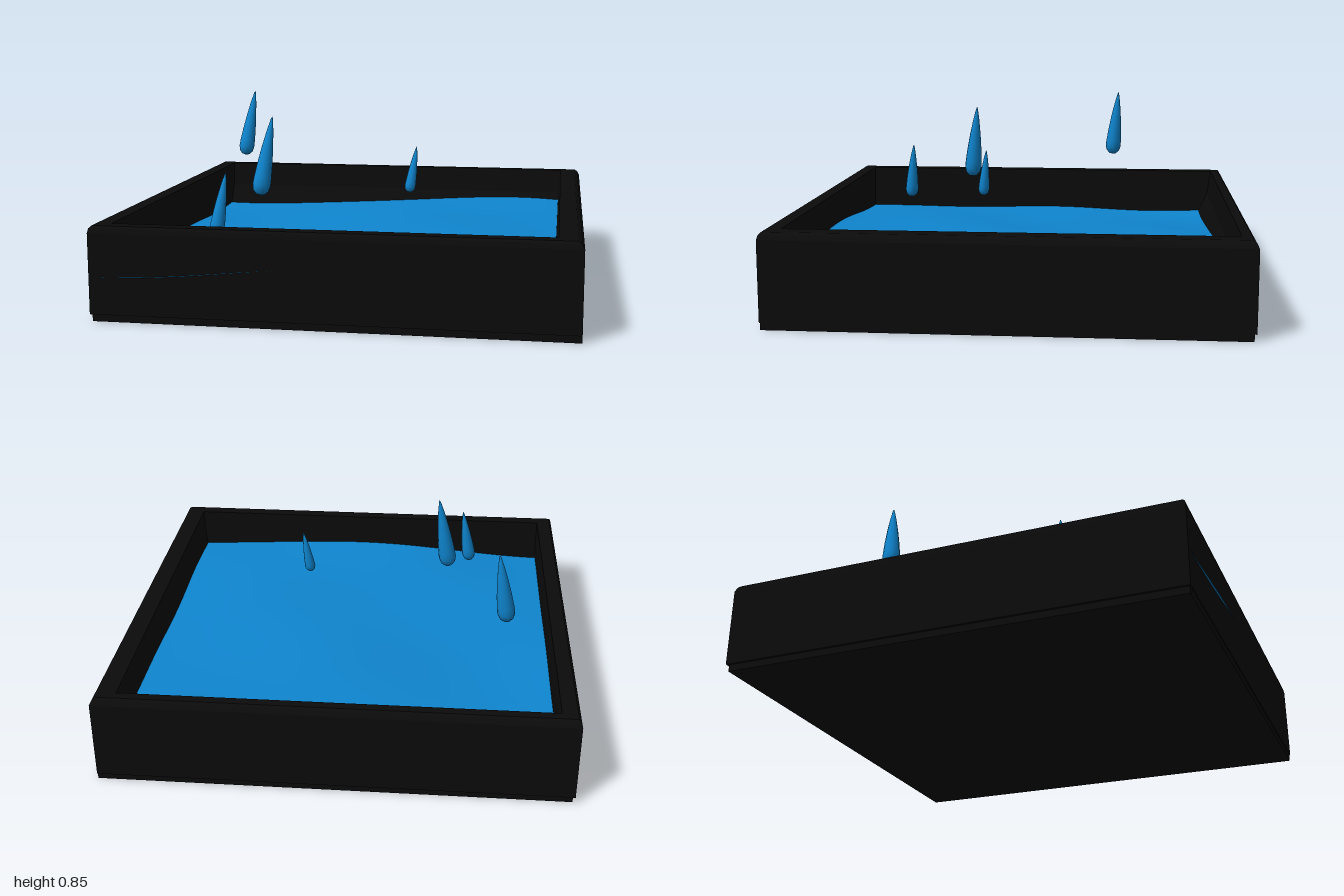
import * as THREE from 'three';

const black = new THREE.MeshStandardMaterial({ name: 'black tray', color: 0x0b0b0b });
const blue = new THREE.MeshStandardMaterial({ name: 'water blue', color: 0x0f86d0, side: THREE.DoubleSide });

// Skins a series of rectangles [x0, x1, z0, z1, y] and caps both ends
function rectLoft(rings) {
  const pos = [];
  const corners = ([x0, x1, z0, z1, y]) => [[x0, y, z1], [x1, y, z1], [x1, y, z0], [x0, y, z0]];
  const quad = (a, b, c, d) => pos.push(...a, ...b, ...c, ...a, ...c, ...d);
  for (let i = 0; i < rings.length - 1; i++) {
    const lo = corners(rings[i]), hi = corners(rings[i + 1]);
    for (let k = 0; k < 4; k++) {
      const n = (k + 1) % 4;
      quad(lo[k], lo[n], hi[n], hi[k]);
    }
  }
  const first = corners(rings[0]), last = corners(rings[rings.length - 1]);
  quad(first[3], first[2], first[1], first[0]);
  quad(last[0], last[1], last[2], last[3]);
  const geo = new THREE.BufferGeometry();
  geo.setAttribute('position', new THREE.Float32BufferAttribute(pos, 3));
  geo.computeVertexNormals();
  return geo;
}

// Open tray: outside wall, bevelled rim, then down the inside to the floor
function makeTray() {
  const mesh = new THREE.Mesh(rectLoft([
    [-0.99, 1, -0.99, 0.985, 0],
    [-0.99, 1, -0.99, 0.985, 0.03],
    [-1, 1, -1, 0.99, 0.03],
    [-1, 1, -1, 0.99, 0.37],
    [-0.995, 0.99, -0.99, 0.985, 0.39],
    [-0.985, 0.975, -0.98, 0.975, 0.4],
    [-0.92, 0.9, -0.94, 0.915, 0.4],
    [-0.92, 0.895, -0.925, 0.918, 0.28],
    [-0.925, 0.882, -0.87, 0.92, 0.16],
    [-0.925, 0.88, -0.86, 0.92, 0.1],
  ]), black);
  mesh.name = 'tray';
  return mesh;
}

// Gently rolling water surface, its edges buried in the walls
function makeWater() {
  const geo = new THREE.PlaneGeometry(1.9, 1.944, 32, 32).rotateX(-Math.PI / 2);
  geo.translate(-0.015, 0, 0.012);
  const p = geo.attributes.position;
  for (let i = 0; i < p.count; i++) {
    const x = p.getX(i), z = p.getZ(i);
    const y = 0.215 + 0.03 * Math.sin(2.33 * x + 0.63 * z + 0.74)
      + 0.006 * Math.sin(5 * x - 4 * z) + 0.004 * Math.sin(4 * x + 7 * z);
    p.setY(i, y);
    p.setZ(i, z + 0.014 * Math.cos(3 * (x + 0.6)));
  }
  geo.computeVertexNormals();
  const mesh = new THREE.Mesh(geo, blue);
  mesh.name = 'waterSurface';
  return mesh;
}

// Teardrop from its round bottom to its pointed tip
function makeDrop(bottom, tip, radius) {
  const from = new THREE.Vector3(...bottom);
  const axis = new THREE.Vector3(...tip).sub(from);
  const length = axis.length();
  const profile = [[0, 0], [0.5, 0.015], [0.85, 0.06], [1, 0.13], [0.97, 0.22],
    [0.84, 0.4], [0.64, 0.6], [0.36, 0.82], [0.12, 0.96], [0, 1]]
    .map(([r, h]) => new THREE.Vector2(r * radius, h * length));
  const mesh = new THREE.Mesh(new THREE.LatheGeometry(profile, 12), blue);
  mesh.quaternion.setFromUnitVectors(new THREE.Vector3(0, 1, 0), axis.normalize());
  mesh.position.copy(from);
  mesh.name = 'raindrop';
  return mesh;
}

export function createModel() {
  const group = new THREE.Group();
  group.name = 'rainTray';
  group.add(makeTray(), makeWater());
  const drops = [
    [[-0.71, 0.52, -0.408], [-0.66, 0.85, -0.437], 0.039],
    [[-0.45, 0.43, 0.305], [-0.395, 0.79, 0.273], 0.042],
    [[0.218, 0.44, 0.168], [0.25, 0.65, 0.15], 0.025],
    [[-0.56, 0.3, 0.645], [-0.517, 0.58, 0.622], 0.033],
  ];
  for (const d of drops) group.add(makeDrop(...d));
  return group;
}
